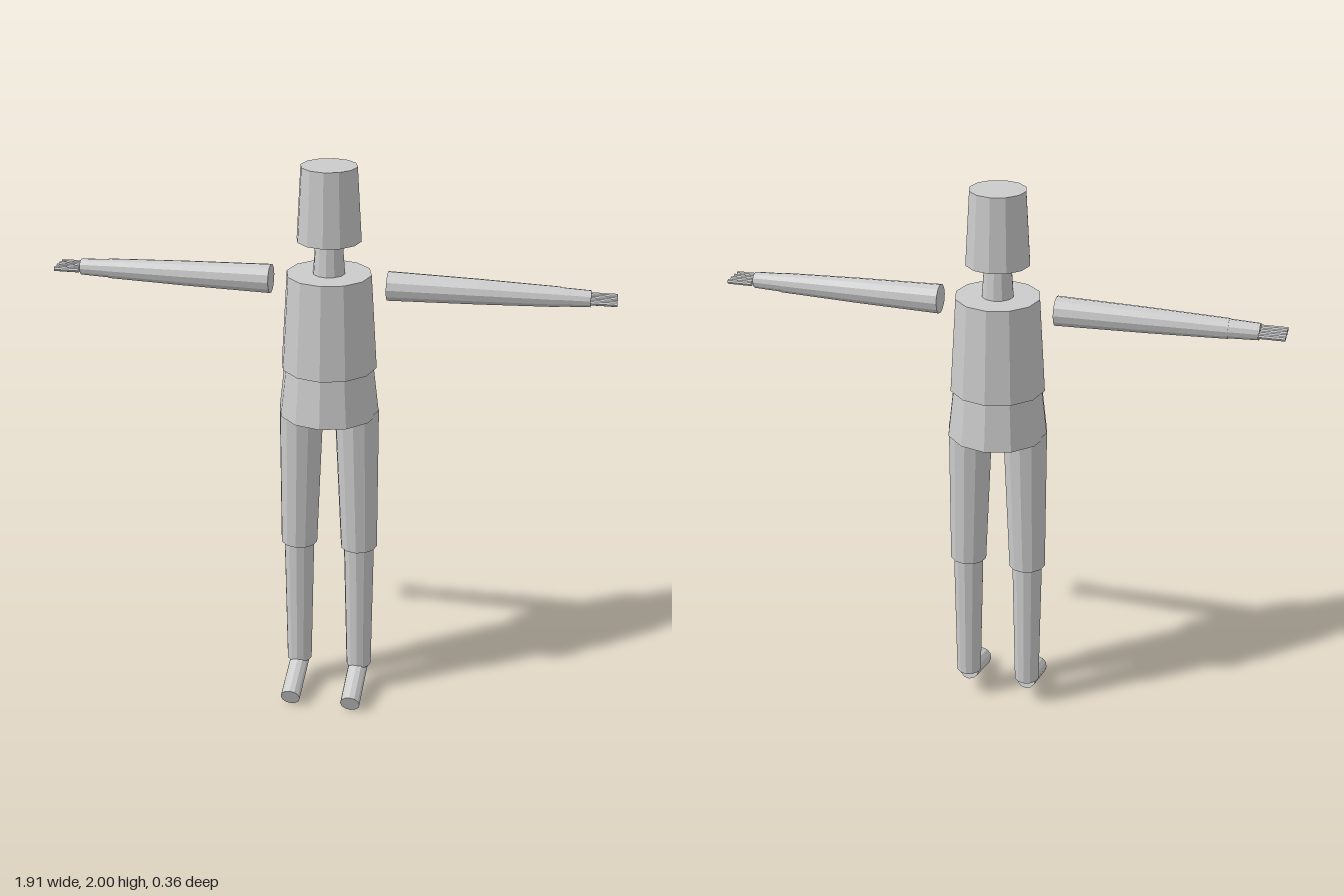
import * as THREE from 'three';

const material = new THREE.MeshStandardMaterial({ color: 0xcccccc, flatShading: true });

// Tapered twelve-sided limb running from point a (radius ra) to point b (radius rb)
function limb(name, a, b, ra, rb, sides = 12) {
  const start = new THREE.Vector3(...a);
  const end = new THREE.Vector3(...b);
  const dir = end.clone().sub(start);
  const mesh = new THREE.Mesh(new THREE.CylinderGeometry(rb, ra, dir.length(), sides), material);
  mesh.name = name;
  mesh.position.copy(start).add(end).multiplyScalar(0.5);
  mesh.quaternion.setFromUnitVectors(new THREE.Vector3(0, 1, 0), dir.normalize());
  return mesh;
}

export function createModel() {
  const model = new THREE.Group();
  model.name = 'mannequin';
  const z = -0.004;

  // Head, neck and trunk
  model.add(
    limb('head', [0, 1.75, z], [0, 2, z], 0.11, 0.095),
    limb('neck', [0, 1.63, z], [0, 1.752, z], 0.055, 0.046),
    limb('torso', [0, 1.305, z], [0, 1.635, z], 0.166, 0.145),
    limb('hips', [0, 1.135, z], [0, 1.305, z], 0.176, 0.156)
  );

  for (const [side, s] of [['left', 1], ['right', -1]]) {
    // Leg with a foot sloping down toward the toes
    const leg = new THREE.Group();
    leg.name = side + 'Leg';
    leg.add(
      limb('thigh', [s * 0.11, 0.61, z], [s * 0.098, 1.145, z], 0.066, 0.078),
      limb('shin', [s * 0.113, 0.11, z], [s * 0.11, 0.612, z], 0.046, 0.055),
      limb('foot', [s * 0.112, 0.099, z], [s * 0.112, 0.039, 0.173], 0.036, 0.036)
    );

    // Outstretched arm
    const arm = new THREE.Group();
    arm.name = side + 'Arm';
    const at = (x, dz = 0) => [s * x, 1.602, z + dz];
    arm.add(
      limb('upperArm', at(0.2), at(0.5), 0.05, 0.043),
      limb('forearm', at(0.5), at(0.77), 0.043, 0.034),
      limb('hand', at(0.77), at(0.87), 0.032, 0.028)
    );

    // Four straight fingers side by side
    for (let i = 0; i < 4; i++) {
      const dz = (i - 1.5) * 0.026;
      arm.add(limb('finger', at(0.868, dz), at(0.955, dz), 0.009, 0.009, 8));
    }
    model.add(leg, arm);
  }
  return model;
}
